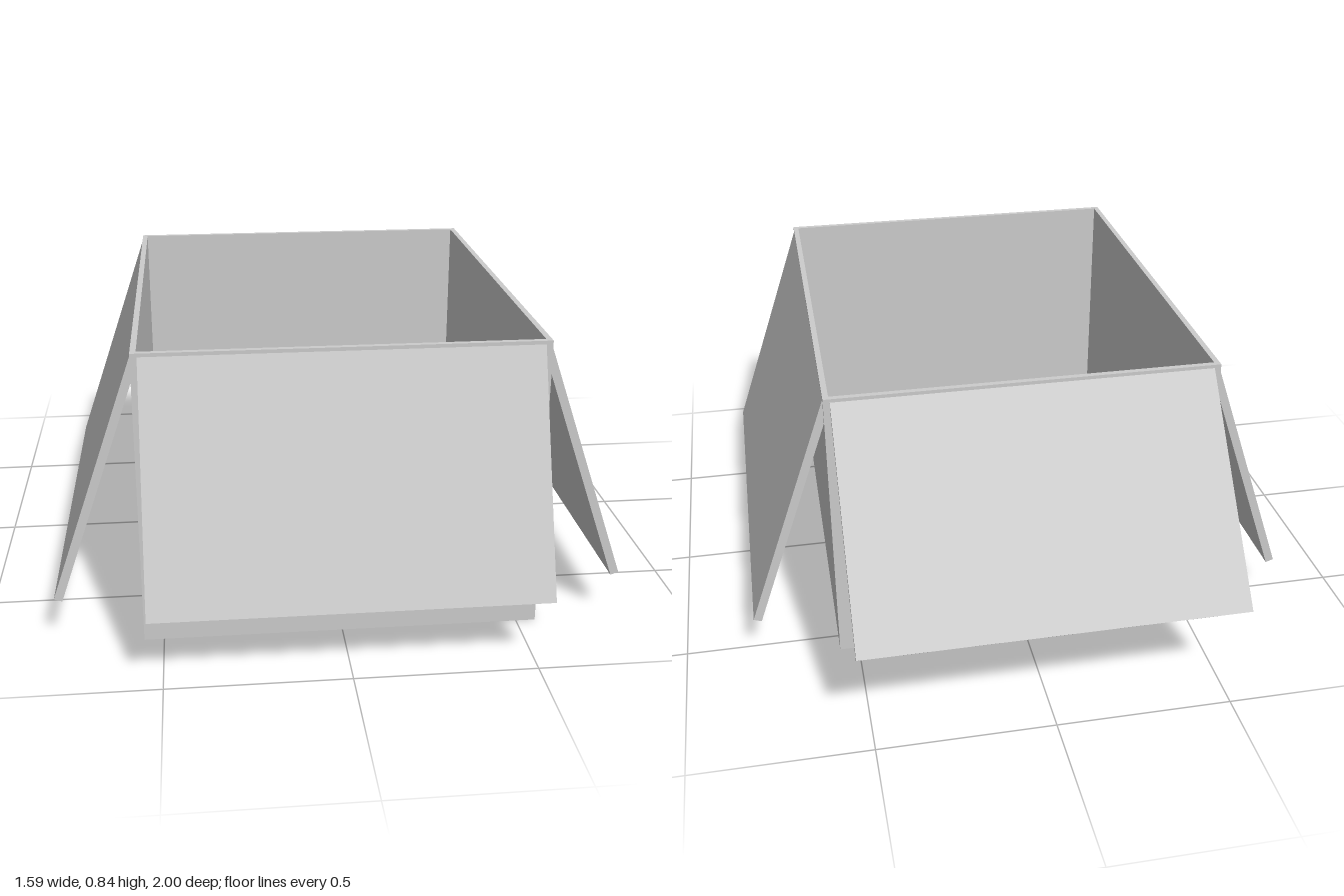
import * as THREE from 'three';

const W = 1.11, D = 1.315, H = 0.84, WALL = 0.016;

const cardboard = new THREE.MeshStandardMaterial({ color: 0xcccccc });
cardboard.name = 'light grey card';

function rect(w, d) {
  return [[-w, -d], [w, -d], [w, d], [-w, d]].map(([x, y]) => new THREE.Vector2(x / 2, y / 2));
}

// Panel hanging outwards from the rim: a thin profile cut flush with the wall, extruded along the edge
function makeFlap(name, { hinge, reach, drop, thick, width, turn }) {
  const top = 0.83;
  const a = Math.atan2(reach - hinge, top - drop);
  const profile = new THREE.Shape([
    new THREE.Vector2(hinge, top),
    new THREE.Vector2(hinge, top - thick / Math.sin(a)),
    new THREE.Vector2(reach - thick * Math.cos(a), drop - thick * Math.sin(a)),
    new THREE.Vector2(reach, drop),
  ]);
  const geo = new THREE.ExtrudeGeometry(profile, { depth: width, bevelEnabled: false });
  geo.translate(0, 0, -width / 2);
  const flap = new THREE.Mesh(geo, cardboard);
  flap.name = name;
  flap.rotation.y = turn;
  return flap;
}

export function createModel() {
  const model = new THREE.Group();
  model.name = 'openBox';
  const box = new THREE.Group();
  box.name = 'box';
  box.position.z = 0.0925;
  model.add(box);

  // Four walls as one hollow extrusion
  const ring = new THREE.Shape(rect(W, D));
  ring.holes.push(new THREE.Path(rect(W - 2 * WALL, D - 2 * WALL).reverse()));
  const wallGeo = new THREE.ExtrudeGeometry(ring, { depth: H, bevelEnabled: false });
  wallGeo.rotateX(-Math.PI / 2);
  const walls = new THREE.Mesh(wallGeo, cardboard);
  walls.name = 'walls';
  box.add(walls);

  // Floor
  const floor = new THREE.Mesh(new THREE.BoxGeometry(W - 2 * WALL, WALL, D - 2 * WALL), cardboard);
  floor.name = 'floor';
  floor.position.y = WALL / 2;
  box.add(floor);

  // Side flaps
  const side = { hinge: W / 2, reach: 0.797, drop: 0.13, thick: 0.024, width: 1.275 };
  box.add(makeFlap('leftFlap', { ...side, turn: 0 }));
  box.add(makeFlap('rightFlap', { ...side, turn: Math.PI }));

  // Front and back flaps
  const end = { hinge: D / 2, thick: 0.02, width: 1.073 };
  box.add(makeFlap('frontFlap', { ...end, reach: 0.9075, drop: 0.197, turn: -Math.PI / 2 }));
  box.add(makeFlap('backFlap', { ...end, reach: 1.0925, drop: 0.31, turn: Math.PI / 2 }));

  return model;
}
